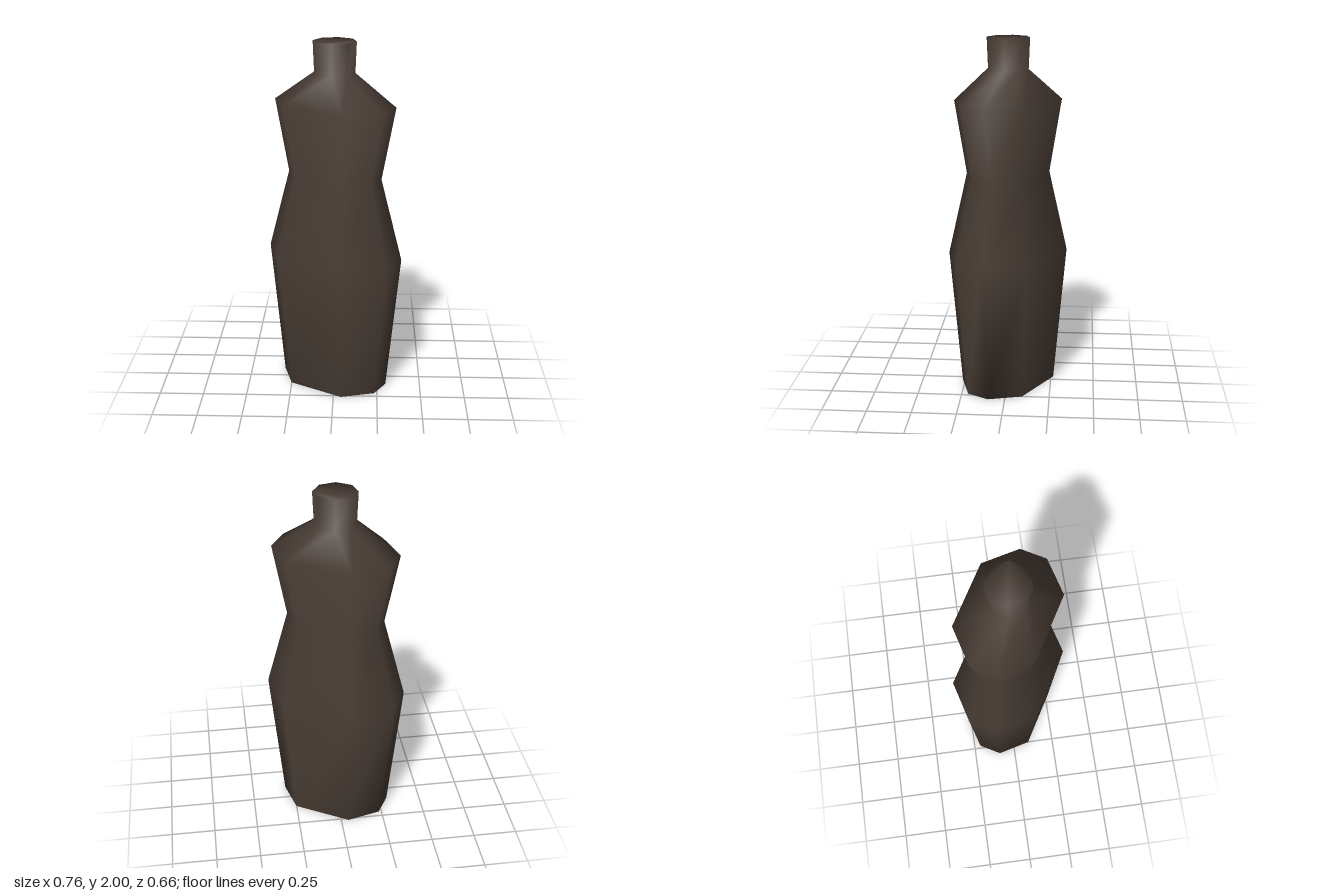
import * as THREE from 'three';

// Half of the body outline (x, z) at its widest; the other half is its point mirror
const half = [[0.378, 0.12], [0.294, 0.268], [0.054, 0.332], [-0.316, 0.119]];
const outline = [...half, ...half.map(([x, z]) => [-x, -z])];
const N = outline.length;

// Body ring: the outline scaled
const bodyRing = (y, s) => outline.map(([x, z]) => [x * s, y, z * s]);

// Neck ring: a regular octagon, turned to line up with the body corners
const neckRing = (y, r) => outline.map((_, i) => {
  const a = THREE.MathUtils.degToRad(8.5 + i * 45);
  return [r * Math.cos(a), y, r * Math.sin(a)];
});

// Joins stacked rings into one closed, smooth-shaded skin
function loft(rings) {
  const index = [];
  for (let k = 0; k < rings.length - 1; k++) {
    for (let i = 0; i < N; i++) {
      const a = k * N + i, b = k * N + (i + 1) % N;
      index.push(a, a + N, b, b, a + N, b + N);
    }
  }
  // Bottom and mouth caps share the ring vertices
  const top = (rings.length - 1) * N;
  for (let i = 1; i < N - 1; i++) {
    index.push(0, i, i + 1, top, top + i + 1, top + i);
  }
  const geo = new THREE.BufferGeometry();
  geo.setAttribute('position', new THREE.Float32BufferAttribute(rings.flat(2), 3));
  geo.setIndex(index);
  geo.computeVertexNormals();
  return geo;
}

export function createModel() {
  const group = new THREE.Group();
  group.name = 'bottle';

  const darkBrown = new THREE.MeshStandardMaterial({ color: 0x4a3e36 });
  darkBrown.name = 'darkBrown';

  // Base, belly, waist, shoulder, neck and mouth
  const body = new THREE.Mesh(loft([
    bodyRing(0, 0.795),
    bodyRing(0.79, 1),
    bodyRing(1.25, 0.69),
    bodyRing(1.66, 0.887),
    neckRing(1.83, 0.114),
    neckRing(2, 0.121),
  ]), darkBrown);
  body.name = 'bottleBody';
  group.add(body);

  return group;
}
